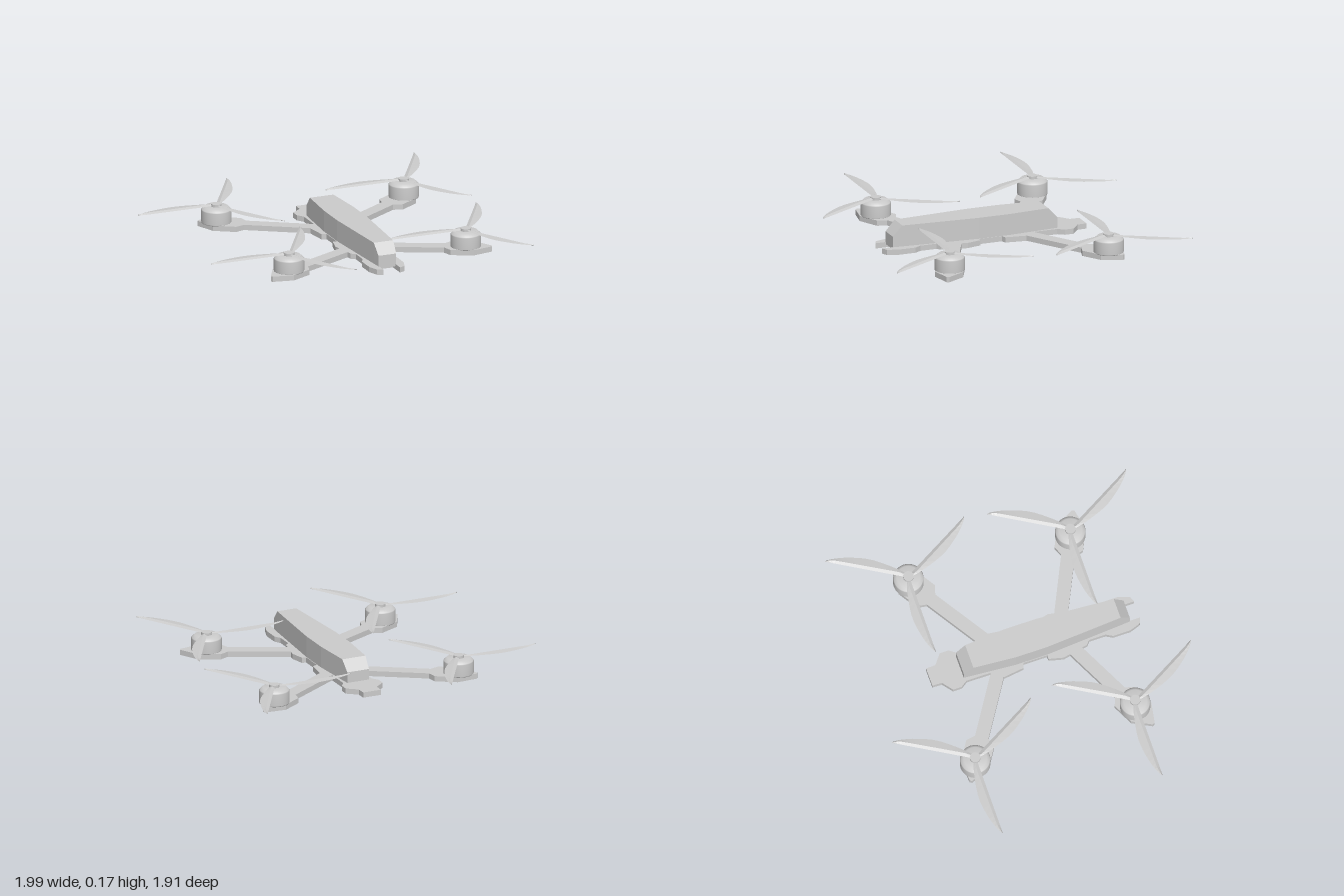
import * as THREE from 'three';

const grey = new THREE.MeshStandardMaterial({ color: 0xcccccc, flatShading: true });
const smooth = new THREE.MeshStandardMaterial({ color: 0xcccccc, side: THREE.DoubleSide });
const thin = new THREE.MeshStandardMaterial({ color: 0xcccccc, flatShading: true, side: THREE.DoubleSide });
const PLATE = 0.033;

function add(parent, name, geometry, material = grey) {
  const mesh = new THREE.Mesh(geometry, material);
  mesh.name = name;
  parent.add(mesh);
  return mesh;
}

// Flat slab from an outline of [x, z] points, resting on y = 0
function slab(points, height) {
  const shape = new THREE.Shape(points.map(([x, z]) => new THREE.Vector2(x, z)));
  const g = new THREE.ExtrudeGeometry(shape, { depth: height, bevelEnabled: false });
  return g.rotateX(Math.PI / 2).translate(0, height, 0);
}

// Closed skin over a row of equal rings of [x, y, z] points
function loft(rings) {
  const n = rings[0].length, index = [];
  for (let i = 0; i < rings.length - 1; i++) {
    for (let j = 0; j < n; j++) {
      const a = i * n + j, b = i * n + (j + 1) % n;
      index.push(a, a + n, b, b, a + n, b + n);
    }
  }
  const end = (rings.length - 1) * n;
  for (let j = 1; j < n - 1; j++) index.push(0, j, j + 1, end, end + j + 1, end + j);
  const g = new THREE.BufferGeometry();
  g.setAttribute('position', new THREE.Float32BufferAttribute(rings.flat(2), 3));
  g.setIndex(index);
  const flat = g.toNonIndexed();
  flat.computeVertexNormals();
  return flat;
}

// Curved blade reaching along -x, with a ridge near its straight edge
function bladeGeometry() {
  const edge = new THREE.SplineCurve([
    [0.015, 0.016], [0.1, 0.041], [0.25, 0.064], [0.38, 0.05], [0.47, 0.024], [0.51, 0.002],
  ].map(([u, v]) => new THREE.Vector2(u, v)));
  return loft(edge.getPoints(16).map(({ x: u, y: v }) => {
    const ridge = Math.min(0.016, v * 0.5);
    return [
      [-u, 0.138, -v], [-u, 0.142, -ridge], [-u, 0.134, 0.005 * (1 - u / 0.52)], [-u, 0.136, -ridge],
    ];
  }));
}

export function createModel() {
  const drone = new THREE.Group();
  drone.name = 'quadcopter';
  const cx = 0.123;

  // Bottom plate: half outline from tail to nose, mirrored
  const half = [
    [0.058, -0.595], [0.06, -0.535], [0.123, -0.485], [0.123, -0.43], [0.095, -0.39],
    [0.095, -0.24], [0.147, -0.17], [0.13, -0.04], [0.1, -0.03], [0.1, 0.12], [0.125, 0.12],
    [0.147, 0.21], [0.115, 0.37], [0.09, 0.39], [0.09, 0.495], [0.113, 0.535], [0.113, 0.645],
    [0.09, 0.712], [0.054, 0.727], [0.054, 0.62],
  ];
  const mirrored = half.map(([x, z]) => [-x, z]).reverse();
  add(drone, 'bottomPlate', slab([...half, ...mirrored], PLATE)).position.x = cx;

  // Canopy: [z, half width, top height]
  const canopy = [
    [-0.4, 0.072, 0.1], [-0.34, 0.077, 0.165], [-0.08, 0.096, 0.165],
    [0.12, 0.096, 0.165], [0.6, 0.063, 0.165], [0.66, 0.058, 0.1],
  ].map(([z, w, top]) => [[-w, 0.02, z], [-w, top, z], [w, top, z], [w, 0.02, z]]);
  add(drone, 'canopy', loft(canopy)).position.x = cx;

  // Motor bell and hub profiles
  const bell = [[0, 0.03], [0.09, 0.03], [0.092, 0.035], [0.092, 0.108], [0.088, 0.113], [0.07, 0.13], [0, 0.13]];
  const bellGeometry = new THREE.LatheGeometry(bell.map(([r, y]) => new THREE.Vector2(r, y)), 32);
  const hubGeometry = new THREE.CylinderGeometry(0.032, 0.032, 0.022, 24);
  const blade = bladeGeometry();

  // Corners: [name, motor x, motor z, arm root side, arm root z, pad shift along arm]
  const corners = [
    ['backLeft', 0.735, -0.515, 1, -0.198, -0.046],
    ['backRight', -0.49, -0.515, -1, -0.198, -0.046],
    ['frontLeft', 0.703, 0.503, 1, 0.285, 0],
    ['frontRight', -0.457, 0.513, -1, 0.29, 0],
  ];
  for (const [name, x, z, side, rootZ, shift] of corners) {
    const corner = new THREE.Group();
    corner.name = name + 'Corner';
    corner.position.set(x, 0, z);
    drone.add(corner);

    // Arm with a pointed motor pad, drawn along +x and turned outward
    const dx = x - (cx + side * 0.08), dz = z - rootZ + Math.sign(z) * 0.02;
    const w = 0.041, s = shift, length = Math.hypot(dx, dz);
    const upper = [[-length, w], [s - 0.128, w], [s - 0.088, 0.086], [s + 0.052, 0.086], [s + 0.158, 0.008]];
    const lower = upper.map(([u, v]) => [u, -v]).reverse();
    add(corner, name + 'Arm', slab([...upper, ...lower], PLATE)).rotation.y = -Math.atan2(dz, dx);

    add(corner, name + 'Motor', bellGeometry, smooth);
    const propeller = new THREE.Group();
    propeller.name = name + 'Propeller';
    corner.add(propeller);
    add(propeller, 'hub', hubGeometry, grey).position.y = 0.135;
    for (let i = 0; i < 3; i++) {
      add(propeller, 'blade', blade, thin).rotation.y = i * Math.PI * 2 / 3;
    }
  }
  return drone;
}
